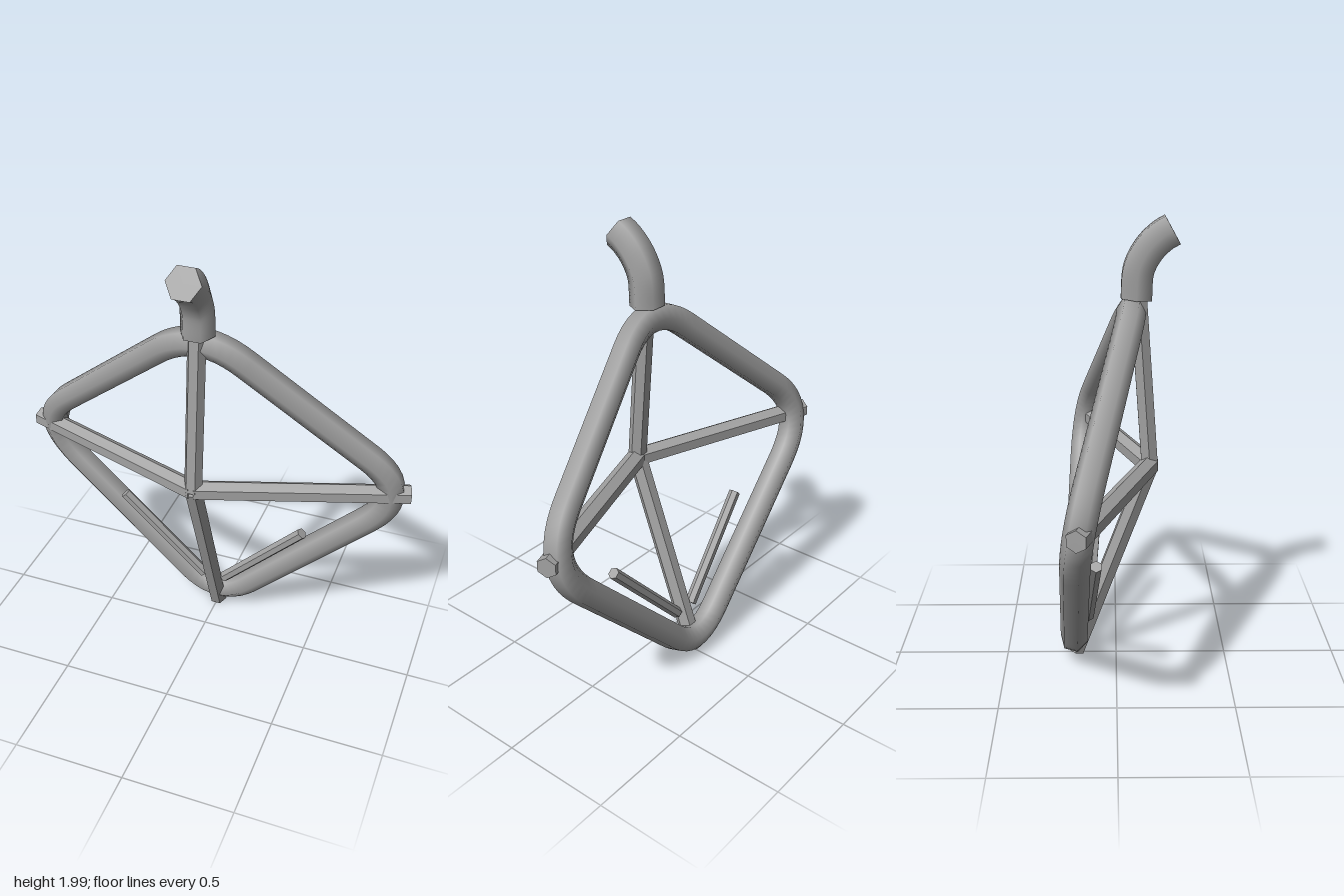
import * as THREE from 'three';

const steel = new THREE.MeshStandardMaterial({ color: 0xa2a2a2 });
steel.name = 'steel grey';

const v = (x, y, z) => new THREE.Vector3(x, y, z);

function addMesh(parent, geometry, name) {
  const mesh = new THREE.Mesh(geometry, steel);
  mesh.name = name;
  parent.add(mesh);
  return mesh;
}

// Hexagonal bar between two points, with one flat turned to the front
function addBar(parent, a, b, radius, name) {
  const length = a.distanceTo(b);
  const geometry = new THREE.CylinderGeometry(radius, radius, length, 6).toNonIndexed();
  geometry.rotateY(Math.PI / 6);
  geometry.computeVertexNormals();
  const along = b.clone().sub(a).normalize();
  const side = along.clone().cross(v(0, 0, 1)).normalize();
  const front = side.clone().cross(along);
  const mesh = addMesh(parent, geometry, name);
  mesh.quaternion.setFromRotationMatrix(new THREE.Matrix4().makeBasis(side, along, front));
  mesh.position.copy(a).add(b).multiplyScalar(0.5);
}

// Closed diamond path with rounded corners
function framePath() {
  const top = v(0, 1.683, 0.09), bottom = v(0, 0.015, -0.195);
  const left = v(0.911, 0.926, -0.155), right = v(-0.911, 0.926, -0.155);
  const corners = [top, left, bottom, right];
  const rounding = [0.206, 0.231, 0.176, 0.231];
  const toward = (i, j) => corners[i].clone().lerp(corners[j], rounding[i]);
  const path = new THREE.CurvePath();
  for (let i = 0; i < 4; i++) {
    const next = (i + 1) % 4, after = (i + 2) % 4;
    path.add(new THREE.LineCurve3(toward(i, next), toward(next, i)));
    path.add(new THREE.QuadraticBezierCurve3(toward(next, i), corners[next], toward(next, after)));
  }
  return path;
}

export function createModel() {
  const model = new THREE.Group();
  model.name = 'diamond frame with hook';

  // Bent tube frame
  addMesh(model, new THREE.TubeGeometry(framePath(), 120, 0.062, 6, true), 'frame');

  // Four spokes meeting at a hub in front of the frame
  const hub = v(0, 0.92, 0.148);
  addBar(model, hub, v(0, 1.655, 0.095), 0.041, 'topSpoke');
  addBar(model, hub, v(0, 0.02, -0.187), 0.043, 'bottomSpoke');
  for (const s of [1, -1]) {
    const name = s > 0 ? 'left' : 'right';
    addBar(model, hub, v(s * 0.885, 0.92, -0.152), 0.045, name + 'Spoke');
    // Short rods inside the lower corner
    addBar(model, v(s * 0.05, 0.215, -0.125), v(s * 0.435, 0.625, -0.085), 0.026, name + 'Rod');
  }

  // Curved hook on top, with closed ends
  const hook = new THREE.Group();
  hook.name = 'hook';
  model.add(hook);
  const curve = new THREE.CatmullRomCurve3([
    v(0, 1.655, 0.085), v(0, 1.78, 0.095), v(0, 1.862, 0.137), v(0, 1.92, 0.196), v(0, 1.942, 0.235),
  ]);
  addMesh(hook, new THREE.TubeGeometry(curve, 24, 0.075, 6, false), 'hookTube');
  for (const t of [0, 1]) {
    const cap = addMesh(hook, new THREE.CircleGeometry(0.075, 6), t ? 'hookTip' : 'hookBase');
    const end = curve.getPointAt(t);
    cap.position.copy(end);
    cap.lookAt(end.clone().addScaledVector(curve.getTangentAt(t), t ? 1 : -1));
  }
  return model;
}
